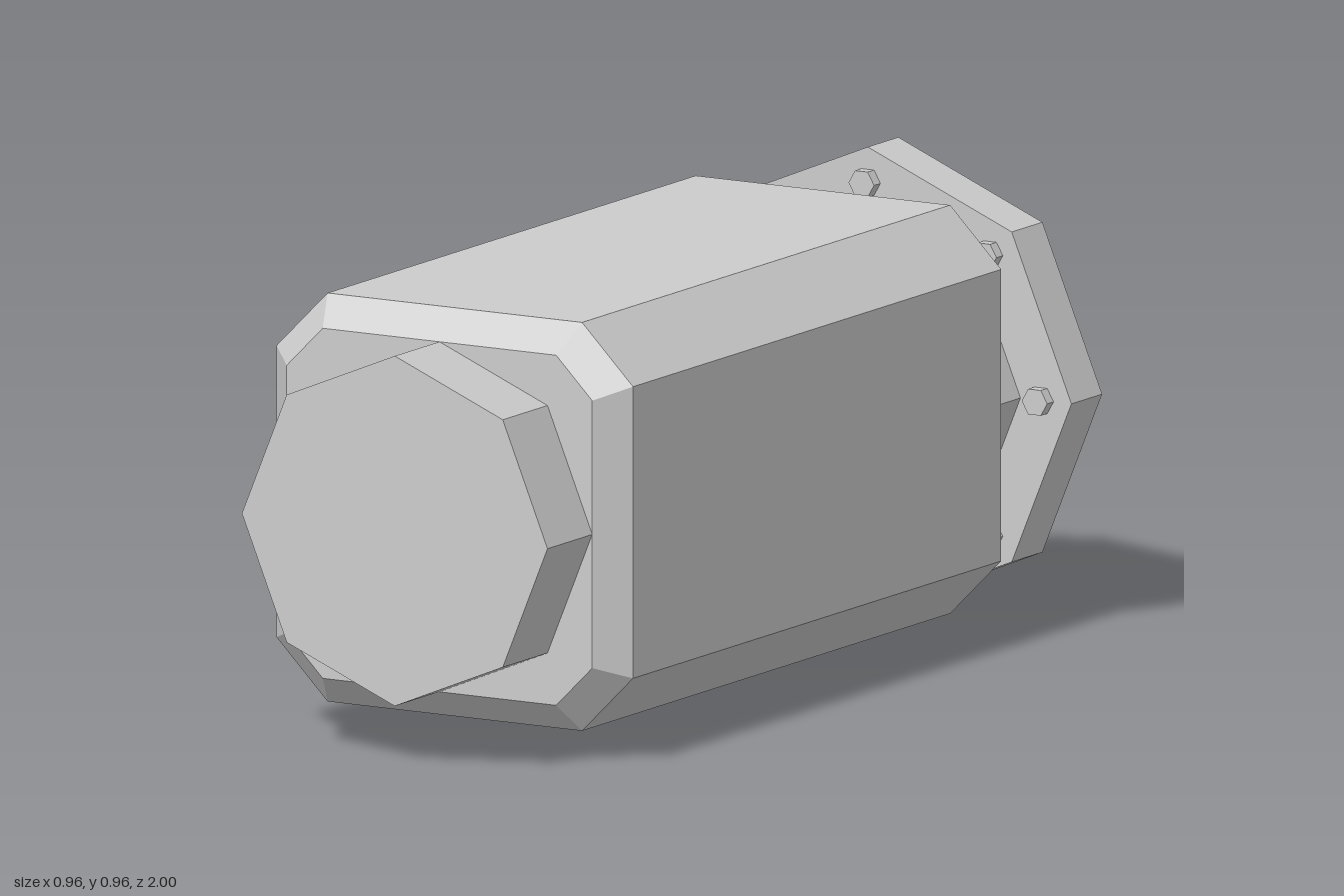
import * as THREE from 'three';

const CENTRE_Y = 0.48;
const material = new THREE.MeshStandardMaterial({ color: 0xcccccc, flatShading: true });

// Corner points of a regular polygon with a corner on +x
function polygon(radius, sides) {
  return Array.from({ length: sides }, (_, i) => {
    const a = (i / sides) * Math.PI * 2;
    return new THREE.Vector2(radius * Math.cos(a), radius * Math.sin(a));
  });
}

// Solid regular prism running along z from z0 to z1, a corner on +x
function prism(radius, sides, z0, z1) {
  const g = new THREE.CylinderGeometry(radius, radius, z1 - z0, sides, 1, false, Math.PI / 2);
  return g.rotateX(Math.PI / 2).translate(0, 0, (z0 + z1) / 2);
}

export function createModel() {
  const model = new THREE.Group();
  model.name = 'flangedCanister';
  const add = (name, geometry, parent = model) => {
    const mesh = new THREE.Mesh(geometry, material);
    mesh.name = name;
    parent.add(mesh);
    return mesh;
  };

  // Main body: square section with cut corners and bevelled ends
  const h = 0.36, c = 0.275;
  const section = new THREE.Shape([
    [h, -c], [h, c], [c, h], [-c, h], [-h, c], [-h, -c], [-c, -h], [c, -h],
  ].map(([x, y]) => new THREE.Vector2(x, y)));
  const body = new THREE.ExtrudeGeometry(section, {
    depth: 1.44, bevelEnabled: true, bevelThickness: 0.06, bevelSize: 0.06, bevelSegments: 1,
  });
  add('body', body.translate(0, 0, -0.675)).position.y = CENTRE_Y;

  // Octagonal core that shows as a collar at each end
  add('core', prism(0.36, 8, -0.91, 1)).position.y = CENTRE_Y;

  // Back flange: octagonal ring standing proud of the core's end
  const flange = new THREE.Group();
  flange.name = 'flange';
  flange.position.y = CENTRE_Y;
  model.add(flange);
  const ring = new THREE.Shape(polygon(0.48, 8));
  ring.holes.push(new THREE.Path(polygon(0.36, 8).reverse()));
  const ringGeometry = new THREE.ExtrudeGeometry(ring, { depth: 0.12, bevelEnabled: false });
  add('flangeRing', ringGeometry.translate(0, 0, -0.97), flange);

  // Hexagonal bolts through the flange, one at each corner
  const boltGeometry = prism(0.03, 6, -1, -0.825);
  polygon(0.408, 8).forEach((p, i) => {
    add('bolt' + (i + 1), boltGeometry, flange).position.set(p.x, p.y, 0);
  });

  return model;
}
